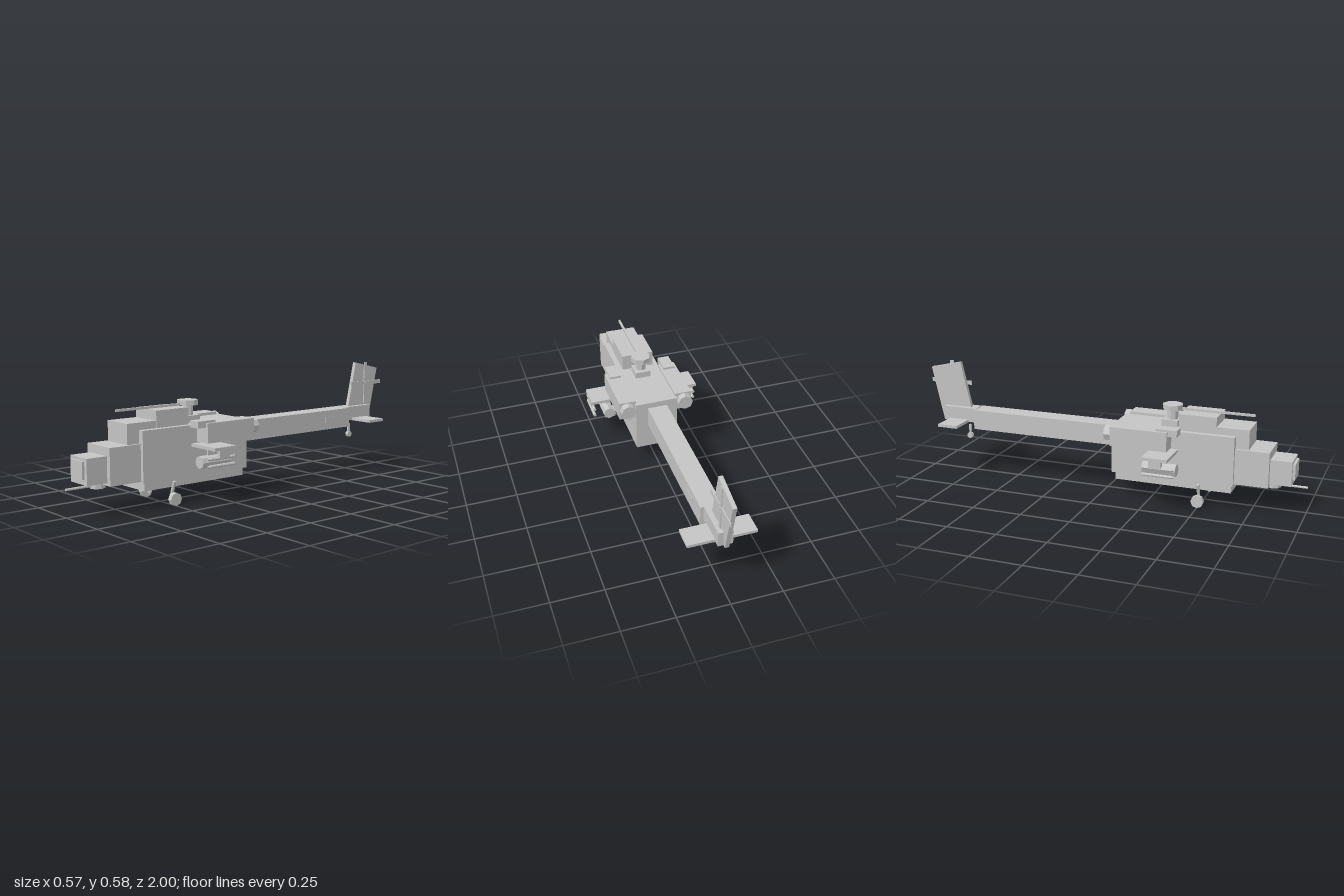
import * as THREE from 'three';

export function createModel() {
  const root = new THREE.Group();
  root.name = 'helicopter';
  const grey = new THREE.MeshStandardMaterial({ color: 0xc4c4c4, flatShading: true });
  grey.name = 'hull grey';

  const add = (name, geometry, x, y, z) => {
    const mesh = new THREE.Mesh(geometry, grey);
    mesh.name = name;
    mesh.position.set(x, y, z);
    root.add(mesh);
    return mesh;
  };
  // Box given by its limits on each axis
  const box = (name, x0, x1, y0, y1, z0, z1) => add(name,
    new THREE.BoxGeometry(Math.abs(x1 - x0), y1 - y0, z1 - z0),
    (x0 + x1) / 2, (y0 + y1) / 2, (z0 + z1) / 2);
  // Eight-sided cylinder along a chosen axis
  const rod = (name, axis, r, length, x, y, z, rTop = r) => {
    const g = new THREE.CylinderGeometry(rTop, r, length, 8);
    if (axis === 'z') g.rotateX(Math.PI / 2);
    if (axis === 'x') g.rotateZ(Math.PI / 2);
    return add(name, g, x, y, z);
  };

  // Fuselage, nose and stepped cockpit
  box('fuselage', -0.108, 0.108, 0.122, 0.363, 0.06, 0.667);
  box('belly', -0.101, 0.101, 0.086, 0.122, 0.078, 0.657);
  box('noseRear', -0.091, 0.091, 0.13, 0.302, 0.667, 0.83);
  box('noseFront', -0.067, 0.067, 0.143, 0.263, 0.83, 0.933);
  box('sensorPlate', -0.048, 0.048, 0.169, 0.249, 0.93, 0.945);
  box('frontCockpit', -0.078, 0.078, 0.302, 0.397, 0.57, 0.73);
  box('rearCockpit', -0.081, 0.081, 0.36, 0.443, 0.39, 0.573);

  // Chin gun
  rod('gunTurret', 'y', 0.036, 0.031, 0, 0.128, 0.84);
  rod('gunBarrel', 'z', 0.006, 0.16, 0, 0.125, 0.92);

  // Main rotor with its single forward blade
  box('mastBase', -0.04, 0.04, 0.36, 0.395, 0.29, 0.37);
  rod('mast', 'y', 0.027, 0.06, 0, 0.418, 0.335);
  rod('rotorHub', 'y', 0.05, 0.025, 0, 0.455, 0.335);
  box('rotorBlade', -0.005, 0.005, 0.443, 0.454, 0.38, 0.737);

  // Tail boom, fin and stabiliser
  box('tailBoom', -0.05, 0.05, 0.24, 0.341, -0.725, 0.05);
  box('tailBlock', -0.035, 0.035, 0.27, 0.344, -0.905, -0.72);
  add('tailFin', new THREE.BoxGeometry(0.02, 0.279, 0.175), 0, 0.425, -0.868).rotation.x = -0.222;
  box('stabiliser', -0.163, 0.163, 0.268, 0.282, -0.873, -0.765);

  // Tail rotor on the left of the fin
  rod('tailRotorHub', 'x', 0.01, 0.018, 0.018, 0.466, -0.88);
  box('tailBladeLong', 0.018, 0.023, 0.456, 0.477, -1, -0.767);
  box('tailBladeUpright', 0.018, 0.023, 0.355, 0.579, -0.891, -0.87);

  // Tail wheel
  box('tailWheelStrut', -0.005, 0.005, 0.198, 0.247, -0.781, -0.77);
  rod('tailWheel', 'x', 0.016, 0.018, 0, 0.188, -0.776);

  // Thin panels on the left side
  box('fuselagePanel', 0.106, 0.11, 0.21, 0.263, 0.15, 0.23);
  box('boomPanel', 0.048, 0.052, 0.277, 0.307, -0.62, -0.54);

  for (const s of [-1, 1]) {
    // Engines
    box('engine', s * 0.102, s * 0.188, 0.282, 0.376, 0.08, 0.362);
    box('engineIntake', s * 0.115, s * 0.174, 0.355, 0.387, 0.305, 0.408);
    rod('exhaust', 'z', 0.038, 0.04, s * 0.148, 0.336, 0.065);

    // Stub wing with pod and missiles
    box('stubWing', s * 0.1, s * 0.283, 0.262, 0.277, 0.27, 0.395);
    box('podPylon', s * 0.192, s * 0.2, 0.223, 0.264, 0.3, 0.37);
    rod('rocketPod', 'z', 0.03, 0.165, s * 0.196, 0.202, 0.335);
    box('missilePylon', s * 0.261, s * 0.279, 0.225, 0.263, 0.305, 0.365);
    for (const y of [0.226, 0.192]) {
      rod('missile', 'z', 0.008, 0.14, s * 0.269, y, 0.342);
      rod('missileTip', 'z', 0.008, 0.016, s * 0.269, y, 0.42, 0.003);
    }

    // Main landing gear
    add('gearStrut', new THREE.BoxGeometry(0.012, 0.094, 0.012), s * 0.1, 0.069, 0.5).rotation.z = -s * 0.34;
    rod('mainWheel', 'x', 0.031, 0.023, s * 0.118, 0.031, 0.5);
  }
  return root;
}
